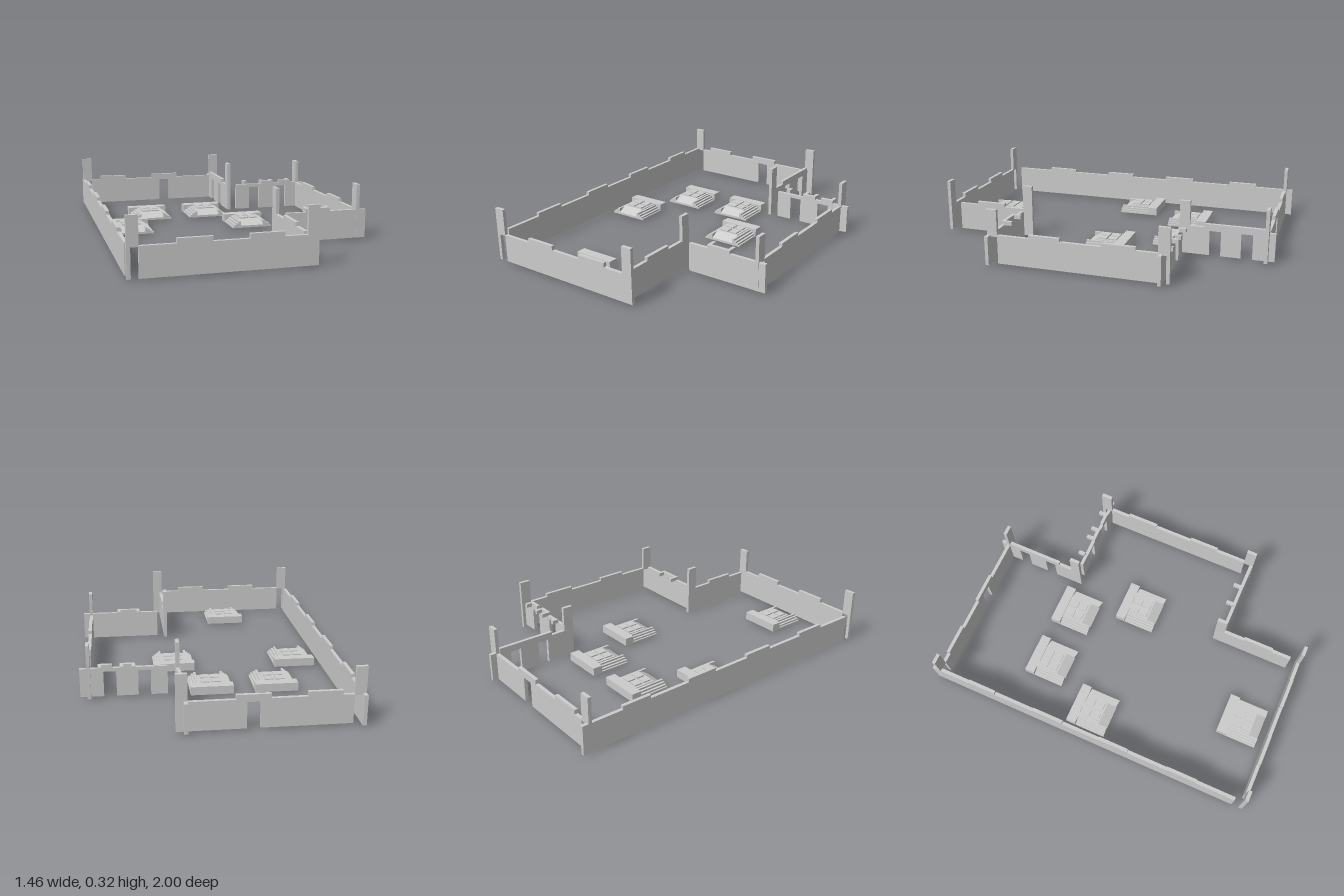
import * as THREE from 'three';

const T = 0.02;        // wall thickness
const BASE = 0.01;     // underside of the walls
const CAP = 0.195;     // top of the raised copings

export function createModel() {
  const model = new THREE.Group();
  const stone = new THREE.MeshStandardMaterial({ color: 0xcccccc });
  stone.name = 'lightGrey';

  const box = (name, parent, x0, x1, y0, y1, z0, z1) => {
    const mesh = new THREE.Mesh(new THREE.BoxGeometry(x1 - x0, y1 - y0, z1 - z0), stone);
    mesh.position.set((x0 + x1) / 2, (y0 + y1) / 2, (z0 + z1) / 2);
    mesh.name = name;
    parent.add(mesh);
  };

  // One wall outline: raised = [from, to, top], doors = [from, to, head], in order along the wall
  const wallGeometry = (from, to, top, raised, doors) => {
    const pts = [[from, BASE]];
    for (const [a, b, h] of doors) pts.push([a, BASE], [a, h], [b, h], [b, BASE]);
    pts.push([to, BASE], [to, top]);
    for (const [a, b, h] of [...raised].reverse()) pts.push([b, top], [b, h], [a, h], [a, top]);
    pts.push([from, top]);
    const clean = pts.filter((p, i) => {
      const q = pts[(i + 1) % pts.length];
      return p[0] !== q[0] || p[1] !== q[1];
    });
    const shape = new THREE.Shape(clean.map(([x, y]) => new THREE.Vector2(x, y)));
    return new THREE.ExtrudeGeometry(shape, { depth: T, bevelEnabled: false });
  };
  // Wall running along x, its back face at z
  const wallX = (name, z, ...spec) => {
    const mesh = new THREE.Mesh(wallGeometry(...spec), stone);
    mesh.position.z = z;
    mesh.name = name;
    model.add(mesh);
  };
  // Wall running along z, its low face at x
  const wallZ = (name, x, ...spec) => {
    const mesh = new THREE.Mesh(wallGeometry(...spec), stone);
    mesh.rotation.y = -Math.PI / 2;
    mesh.position.x = x + T;
    mesh.name = name;
    model.add(mesh);
  };

  // Main hall walls, with corner posts and copings
  wallX('frontWall', 0.98, -0.73, 0.24, 0.17,
    [[-0.73, -0.67, 0.32], [-0.487, -0.307, CAP], [-0.12, 0.058, CAP], [0.18, 0.24, 0.32]],
    [[-0.71, -0.67, 0.165]]);
  wallX('backWall', -0.965, -0.73, 0.24, 0.17,
    [[-0.73, -0.67, 0.32], [-0.61, -0.43, CAP], [-0.243, -0.063, CAP], [0.18, 0.24, 0.32]],
    [[-0.71, -0.67, 0.165], [-0.19, -0.12, 0.155]]);
  wallZ('longSideWall', -0.73, -1, 0.937, 0.175,
    [[-0.76, -0.585, CAP], [-0.335, -0.145, CAP], [0.09, 0.27, CAP], [0.515, 0.7, CAP]], []);
  wallZ('hallSideWallFront', 0.18, 0.455, 0.937, 0.175,
    [[0.455, 0.515, 0.32], [0.64, 0.82, CAP]], []);
  wallZ('hallSideWallBack', 0.18, -1, -0.455, 0.175,
    [[-0.94, -0.6, CAP], [-0.515, -0.455, 0.32]],
    [[-0.875, -0.81, 0.155], [-0.695, -0.63, 0.155]]);

  // Side wing walls
  wallZ('wingSideWall', 0.665, -0.52, 0.515, 0.175,
    [[-0.52, -0.455, 0.32], [-0.335, -0.145, CAP], [0.09, 0.27, CAP], [0.455, 0.515, 0.32]],
    [[-0.5, -0.455, 0.165], [0.455, 0.495, 0.165]]);
  wallX('wingFrontWall', 0.493, 0.243, 0.725, 0.175, [[0.36, 0.505, CAP]], []);
  wallX('wingBackWall', -0.483, 0.243, 0.725, 0.175,
    [[0.42, 0.505, CAP], [0.545, 0.625, CAP]],
    [[0.335, 0.405, 0.155], [0.525, 0.595, 0.155]]);

  // Short arms projecting from the wing walls
  for (const x of [0.36, 0.485]) box('frontArm', model, x, x + T, 0.172, CAP, 0.452, 0.495);
  for (const x of [0.3, 0.42, 0.485, 0.605]) box('backArm', model, x, x + T, 0.172, CAP, -0.52, -0.48);

  // Floor hatch: foot, plate, back block, stepped sides and a ramped centre with four panes
  const H = 0.055;
  const hatch = (cx, cz) => {
    const g = new THREE.Group();
    g.name = 'floorHatch';
    g.position.set(cx, 0, cz);
    box('hatchFoot', g, -0.061, 0.061, 0, 0.012, -0.061, 0.061);
    box('hatchPlate', g, -0.121, 0.121, 0.007, 0.016, -0.121, 0.123);
    box('hatchBackBlock', g, -0.121, 0.121, 0.016, H, -0.121, -0.062);
    for (const side of [-1, 1]) {
      for (let i = 0; i < 3; i++) {
        const inner = 0.07 + i * 0.014, outer = inner + 0.014;
        box('hatchStep', g, Math.min(side * inner, side * outer), Math.max(side * inner, side * outer),
          0.016, 0.046 - i * 0.01, -0.062, 0.123);
      }
    }
    const profile = new THREE.Shape([[-0.062, 0.016], [0.123, 0.016], [0.123, 0.02], [0.068, 0.05], [-0.062, 0.05]]
      .map(([z, y]) => new THREE.Vector2(z, y)));
    const ramp = new THREE.Mesh(new THREE.ExtrudeGeometry(profile, { depth: 0.14, bevelEnabled: false }), stone);
    ramp.rotation.y = -Math.PI / 2;
    ramp.position.x = 0.07;
    ramp.name = 'hatchRamp';
    g.add(ramp);
    for (const px of [-0.03, 0.03]) {
      for (const pz of [-0.028, 0.032]) {
        box('hatchPane', g, px - 0.025, px + 0.025, 0.05, 0.057, pz - 0.025, pz + 0.025);
      }
    }
    model.add(g);
  };
  for (const [x, z] of [[-0.366, -0.4], [-0.002, -0.4], [-0.548, -0.035], [0.18, -0.035], [-0.245, 0.815]]) hatch(x, z);

  return model;
}
